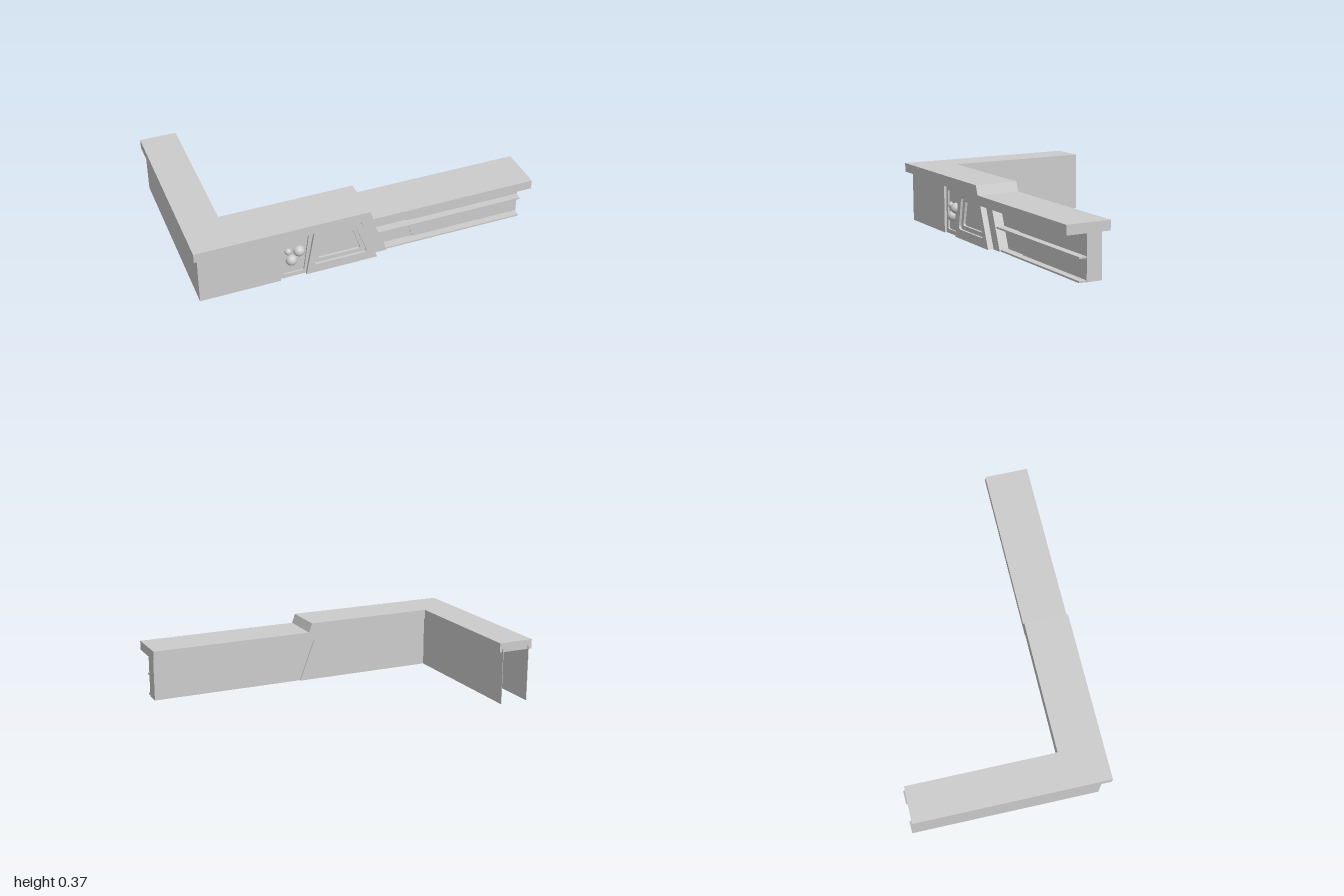
import * as THREE from 'three';

const material = new THREE.MeshStandardMaterial({ color: 0xcccccc, side: THREE.DoubleSide });

// Closed outline whose corners are rounded with radius r
function outline(points, r = 0, Type = THREE.Shape) {
  const path = new Type();
  const v = points.map(([x, y]) => new THREE.Vector2(x, y));
  v.forEach((p, i) => {
    const prev = v[(i + v.length - 1) % v.length];
    const next = v[(i + 1) % v.length];
    const a = p.clone().add(prev.clone().sub(p).setLength(r));
    const b = p.clone().add(next.clone().sub(p).setLength(r));
    if (i === 0) path.moveTo(a.x, a.y);
    else path.lineTo(a.x, a.y);
    if (r > 0) path.quadraticCurveTo(p.x, p.y, b.x, b.y);
  });
  path.closePath();
  return path;
}

export function createModel() {
  const group = new THREE.Group();

  function add(name, geometry) {
    const mesh = new THREE.Mesh(geometry, material);
    mesh.name = name;
    group.add(mesh);
    return mesh;
  }

  // Flat panel drawn in x/y, filling z0..z1
  function slab(name, shape, z0, z1, holes = []) {
    shape.holes.push(...holes);
    const geometry = new THREE.ExtrudeGeometry(shape, { depth: z1 - z0, bevelEnabled: false, curveSegments: 5 });
    geometry.translate(0, 0, z0);
    return add(name, geometry);
  }

  function box(name, x0, x1, y0, y1, z0, z1) {
    const mesh = add(name, new THREE.BoxGeometry(x1 - x0, y1 - y0, z1 - z0));
    mesh.position.set((x0 + x1) / 2, (y0 + y1) / 2, (z0 + z1) / 2);
    return mesh;
  }

  // Slanted seams: x at a given height
  const seamA = (y) => 0.065 - y * 0.387;
  const seamB = (y) => 0.14 - y * 0.392;
  const seamC = (y) => 0.325 - y * 0.333;

  // Stepped countertop and its side arm
  slab('countertop', outline([
    [-1, 0.31], [-0.055, 0.31], [-0.03, 0.255], [1, 0.255],
    [1, 0.31], [0.02, 0.31], [0, 0.365], [-1, 0.365],
  ]), 0.31, 0.57);
  box('armCountertop', -1, -0.785, 0.31, 0.365, -0.56, 0.31);

  // Hollow arm, open at its far end and underneath
  const t = 0.003;
  box('armOuterWall', -0.975, -0.975 + t, 0, 0.33, -0.57, 0.53);
  box('armInnerWall', -0.8 - t, -0.8, 0, 0.33, -0.57, 0.345);

  // Back walls, meeting at the slanted seam
  slab('backWallHigh', outline([
    [-0.8, 0], [seamA(0), 0], [seamA(0.33), 0.33], [-0.8, 0.33],
  ]), 0.345, 0.355);
  slab('backWallLow', outline([
    [seamA(0), 0], [0.99, 0], [0.99, 0.27], [seamA(0.27), 0.27],
  ]), 0.355, 0.358);
  box('endWall', 0.987, 0.99, 0, 0.27, 0.355, 0.445);

  // Front wall with a notch for the gauge panel and a window recess
  const windowOuter = [[-0.315, 0.055], [0.005, 0.055], [-0.07, 0.255], [-0.275, 0.255]];
  const windowInner = [[-0.285, 0.08], [-0.03, 0.08], [-0.085, 0.235], [-0.25, 0.235]];
  slab('frontWall', outline([
    [-0.975, 0], [-0.51, 0], [-0.51, 0.285], [-0.31, 0.285], [-0.36, 0],
    [seamA(0), 0], [seamA(0.33), 0.33], [-0.975, 0.33],
  ]), 0.495, 0.53, [outline(windowOuter, 0.025, THREE.Path)]);
  slab('windowFrame', outline(windowOuter, 0.025), 0.49, 0.515,
    [outline(windowInner, 0.018, THREE.Path)]);
  slab('windowPanel', outline(windowInner, 0.018), 0.488, 0.5);

  // Gauge panel with a sunken centre and three domes
  const gaugeInner = [[-0.49, 0.025], [-0.37, 0.025], [-0.338, 0.268], [-0.49, 0.268]];
  slab('gaugeFrame', outline([[-0.51, 0], [-0.36, 0], [-0.31, 0.285], [-0.51, 0.285]]),
    0.49, 0.515, [outline(gaugeInner, 0.015, THREE.Path)]);
  slab('gaugePanel', outline(gaugeInner, 0.015), 0.488, 0.505);
  for (const [x, y, r] of [[-0.395, 0.165, 0.033], [-0.44, 0.112, 0.033], [-0.458, 0.175, 0.02]]) {
    add('gaugeDome', new THREE.SphereGeometry(r, 24, 16)).position.set(x, y, 0.507);
  }

  // Slanted band stepping back to the shelf recess
  slab('slantedBand', outline([
    [seamA(0), 0], [seamB(0), 0], [seamB(0.27), 0.27], [seamA(0.27), 0.27],
  ]), 0.43, 0.495);
  slab('recessWallNear', outline([
    [seamB(0), 0], [seamC(0), 0], [seamC(0.27), 0.27], [seamB(0.27), 0.27],
  ]), 0.43, 0.437);
  slab('recessWallFar', outline([
    [seamC(0), 0], [0.99, 0], [0.99, 0.27], [seamC(0.27), 0.27],
  ]), 0.43, 0.445);

  // Two shelves in the recess
  for (const y of [0, 0.124]) {
    slab('shelf', outline([
      [seamB(y), y], [0.985, y], [0.985, y + 0.01], [seamB(y + 0.01), y + 0.01],
    ]), 0.435, 0.487);
  }

  return group;
}
